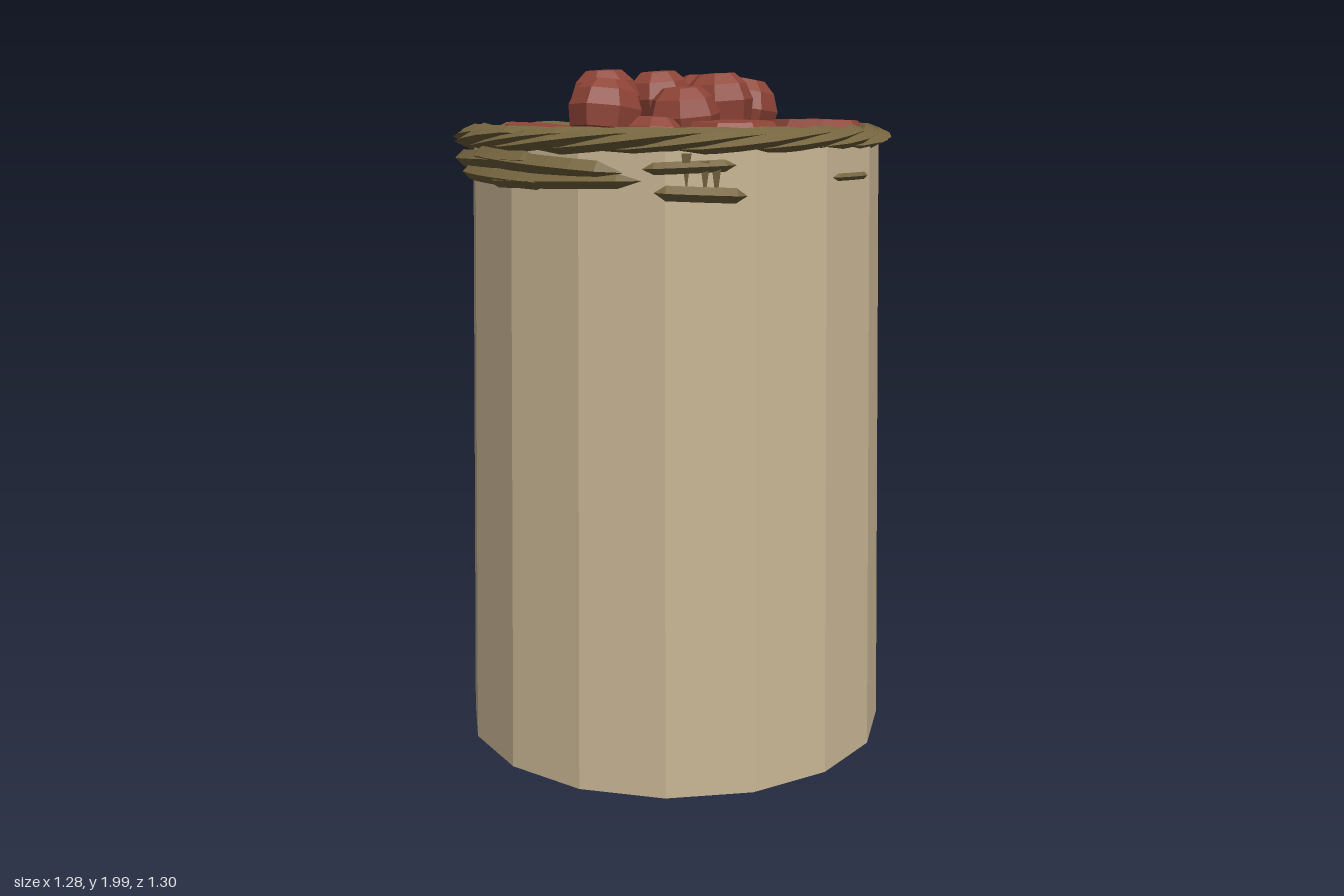
import * as THREE from 'three';

const flat = (name, color) => {
  const m = new THREE.MeshStandardMaterial({ color, flatShading: true });
  m.name = name;
  return m;
};

export function createModel() {
  const model = new THREE.Group();
  model.name = 'berrySack';
  const burlap = flat('burlap', 0xc8b594);
  const straw = flat('straw', 0x75653f);
  const berryRed = flat('berryRed', 0x8f4437);
  const inside = burlap;

  let seed = 7;
  const rand = () => (seed = (seed * 16807) % 2147483647) / 2147483647;
  const add = (name, geo, mat, parent = model) => {
    const mesh = new THREE.Mesh(geo, mat);
    mesh.name = name;
    parent.add(mesh);
    return mesh;
  };
  const group = (name) => {
    const g = new THREE.Group();
    g.name = name;
    model.add(g);
    return g;
  };
  const profile = (pts) => pts.map(([x, y]) => new THREE.Vector2(x, y));

  // Sack: closed base, slightly tapering wall, folded lip and a shallow inner bed
  const sack = add('sack', new THREE.LatheGeometry(profile([
    [0, 0], [0.64, 0], [0.6, 1.79], [0.56, 1.79], [0.5, 1.68], [0.34, 1.62], [0, 1.6],
  ]), 16), inside);
  sack.position.z = -0.02;

  // Small straw flecks poking through the base
  const flecks = group('baseFlecks');
  for (let i = 0; i < 22; i++) {
    const r = 0.6 * Math.sqrt((i + 0.5) / 22), a = i * 2.4;
    const f = add('fleck', new THREE.CylinderGeometry(0.016, 0.016, 0.004, 5), straw, flecks);
    f.position.set(r * Math.cos(a), 0.001, -0.02 + r * Math.sin(a));
    f.scale.z = 0.7;
  }

  // Twisted straw rim: flattened strands wound around a ring
  const rim = group('strawRim');
  rim.position.set(0, 1.8, -0.01);
  rim.scale.y = 0.52;
  for (let s = 0; s < 5; s++) {
    const pts = [];
    for (let i = 0; i < 20; i++) {
      const a = (i / 20) * Math.PI * 2;
      const twist = a * 4 + (s * Math.PI * 2) / 5;
      const r = 0.558 + 0.042 * Math.cos(twist) + (rand() - 0.5) * 0.02;
      pts.push(new THREE.Vector3(r * Math.sin(a), 0.038 * Math.sin(twist), r * Math.cos(a) * 1.03));
    }
    add('rimStrand', new THREE.TubeGeometry(
      new THREE.CatmullRomCurve3(pts, true), 40, 0.034, 4, true), straw, rim);
  }

  // Loose straw wrapped below the rim: [start angle, end angle, start y, end y, thickness]
  const loose = group('looseStraw');
  [
    [-0.44, 0.3, 1.71, 1.69, 0.022], [-0.3, 0.62, 1.76, 1.72, 0.026],
    [-0.62, 0.25, 1.74, 1.75, 0.024], [-0.15, 0.7, 1.69, 1.7, 0.02],
    [0.75, 1.15, 1.67, 1.66, 0.02], [0.7, 1.1, 1.73, 1.74, 0.016],
    [-1.35, -0.95, 1.7, 1.74, 0.016], [1.6, 1.9, 1.7, 1.7, 0.01],
    [2.6, 2.85, 1.7, 1.69, 0.01], [-2.2, -1.95, 1.64, 1.65, 0.01],
  ].forEach(([a0, a1, y0, y1, t]) => {
    const pts = [];
    for (let i = 0; i <= 4; i++) {
      const a = a0 + ((a1 - a0) * i) / 4, r = 0.617;
      pts.push(new THREE.Vector3(r * Math.sin(a), y0 + ((y1 - y0) * i) / 4, r * Math.cos(a) - 0.01));
    }
    const geo = new THREE.TubeGeometry(new THREE.CatmullRomCurve3(pts), 8, t, 4, false);
    // Taper both ends to a point
    const p = geo.attributes.position, v = new THREE.Vector3();
    [[0, 0], [8, 4]].forEach(([ring, k]) => {
      for (let j = 0; j < 5; j++) {
        v.copy(pts[k]);
        p.setXYZ(ring * 5 + j, v.x, v.y, v.z);
      }
    });
    add('looseStrand', geo, straw, loose);
  });

  // Upright frayed ends at the front left
  [[0.98, 1.7], [1.03, 1.69], [0.9, 1.72]].forEach(([a, y]) => {
    const c = add('frayedEnd', new THREE.ConeGeometry(0.018, 0.1, 4), straw, loose);
    c.position.set(0.605 * Math.sin(a), y, 0.605 * Math.cos(a));
    c.rotation.z = Math.PI;
  });

  // Short straw scraps lying in the bed
  [[0.16, -0.42], [-0.39, -0.24], [-0.22, 0.45], [0.48, -0.08]].forEach(([x, z]) => {
    const s = add('bedStraw', new THREE.BoxGeometry(0.05, 0.008, 0.06), straw, loose);
    s.position.set(x, 1.68, z);
  });

  // Berries: faceted balls with a flat crown, [x, z, radius, top y]
  const berries = group('berries');
  const berry = (x, z, r, top, crown, sides) => {
    const geo = new THREE.LatheGeometry(profile([
      [0, -0.9], [0.5, -0.85], [0.92, -0.4], [1, 0.15], [(1 + crown) / 2 + 0.06, 0.6], [crown, 0.88], [0, 0.9],
    ]), sides);
    const b = add('berry', geo, berryRed, berries);
    b.scale.setScalar(r);
    b.position.set(x, top - 0.9 * r, z);
    b.rotation.set((rand() - 0.5) * 0.25, rand() * 6.28, (rand() - 0.5) * 0.25);
  };
  // Upper layer
  [
    [-0.23, -0.35, 0.11, 1.98], [0.01, -0.28, 0.115, 1.97], [-0.18, -0.12, 0.105, 1.99],
    [0.12, -0.08, 0.105, 1.98], [-0.13, 0.14, 0.105, 1.99], [0.21, 0.14, 0.105, 1.94],
    [0.05, 0.29, 0.105, 1.96], [0.01, 0.02, 0.09, 1.86], [0.25, 0.29, 0.095, 1.86],
  ].forEach(([x, z, r, top]) => berry(x, z, r, top, 0.52, 7));
  // Lower layer, broader and flatter
  [
    [0.33, -0.27, 0.165, 1.85], [-0.33, -0.1, 0.17, 1.83], [0.34, 0.08, 0.16, 1.85],
    [-0.32, 0.23, 0.155, 1.83], [-0.04, 0.32, 0.15, 1.8], [0.2, 0.35, 0.145, 1.81],
    [-0.13, -0.34, 0.13, 1.82], [0.05, -0.17, 0.14, 1.8], [-0.14, 0.02, 0.13, 1.78],
    [0.16, 0.08, 0.13, 1.78],
  ].forEach(([x, z, r, top]) => berry(x, z, r, top, 0.75, 8));

  return model;
}
